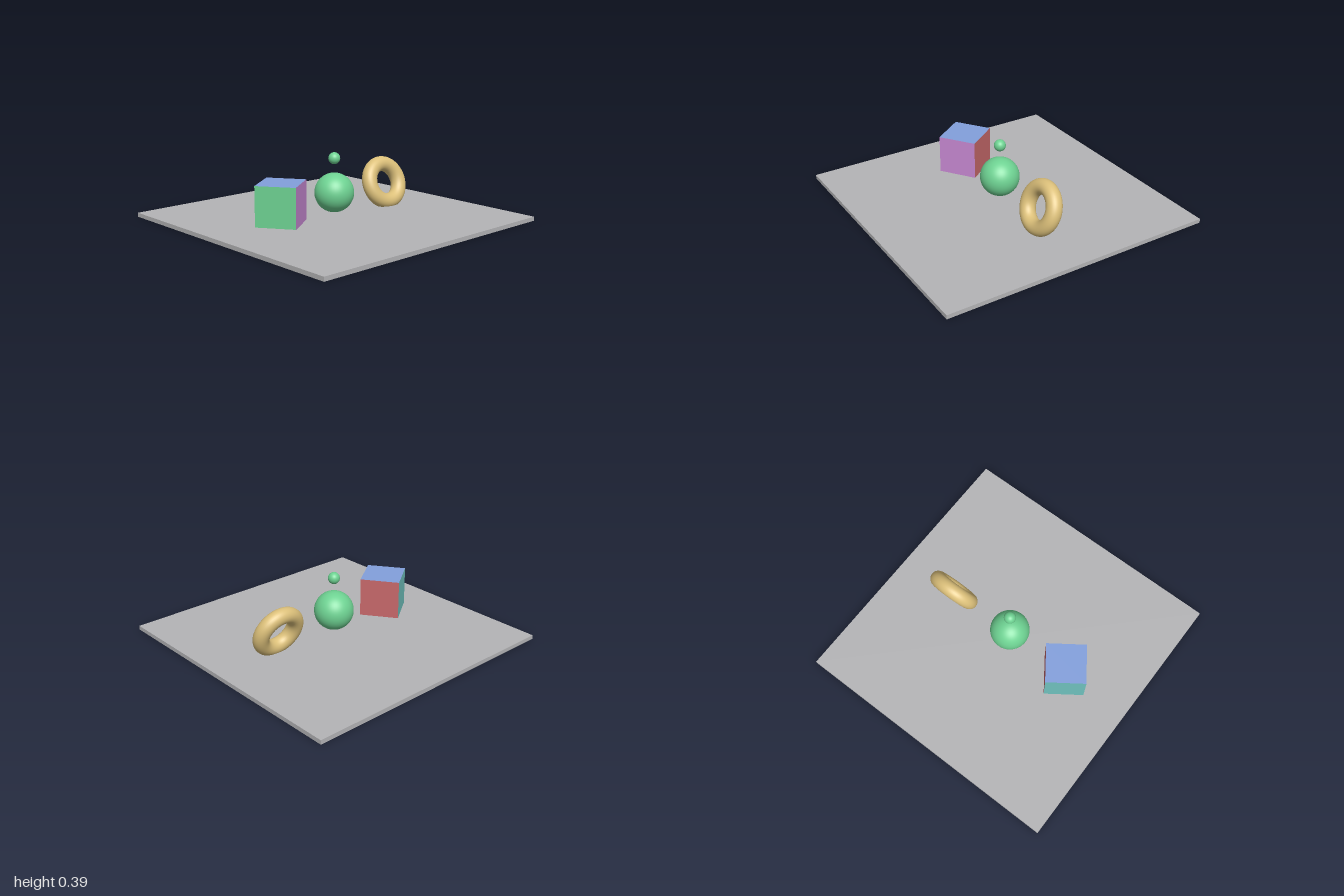
import * as THREE from 'three';

const mat = (name, color) => {
  const m = new THREE.MeshStandardMaterial({ color });
  m.name = name;
  return m;
};

export function createModel() {
  const model = new THREE.Group();
  model.name = 'shapesOnFloor';

  const grey = mat('grey', 0xb4b4b6);
  const green = mat('green', 0x6ed292);
  const gold = mat('gold', 0xdcc07a);
  const purple = mat('purple', 0xc98ad4);
  const teal = mat('teal', 0x70c2be);
  const blue = mat('blue', 0x829fdc);
  const red = mat('red', 0xc96a6c);

  const add = (name, geometry, material, x, y, z) => {
    const mesh = new THREE.Mesh(geometry, material);
    mesh.name = name;
    mesh.position.set(x, y, z);
    model.add(mesh);
    return mesh;
  };

  const unit = 0.113;
  const height = 0.155;

  // Square floor slab, turned about the vertical
  add('floor', new THREE.BoxGeometry(1.6, 0.024, 1.6), grey, 0, 0.012, 0).rotation.y = 0.298;

  // Cube with a colour for each face: +x, -x, +y, -y, +z, -z
  const cube = new THREE.BoxGeometry(2 * unit, 2 * unit, 2 * unit);
  add('cube', cube, [purple, teal, blue, gold, green, red], -0.373, height, 0.114).rotation.y = -0.66;

  // Large ball with a small one floating above it
  add('largeBall', new THREE.SphereGeometry(unit, 48, 32), green, 0, height, 0);
  add('smallBall', new THREE.SphereGeometry(0.3 * unit, 32, 24), green, 0, 0.352, 0);

  // Ring leaning back, with its axis along the given direction
  const ring = add('ring', new THREE.TorusGeometry(unit, 0.4 * unit, 32, 64), gold, 0.388, height, -0.121);
  const axis = new THREE.Vector3(0.25, 0.35, 0.9).normalize();
  ring.quaternion.setFromUnitVectors(new THREE.Vector3(0, 0, 1), axis);

  return model;
}
